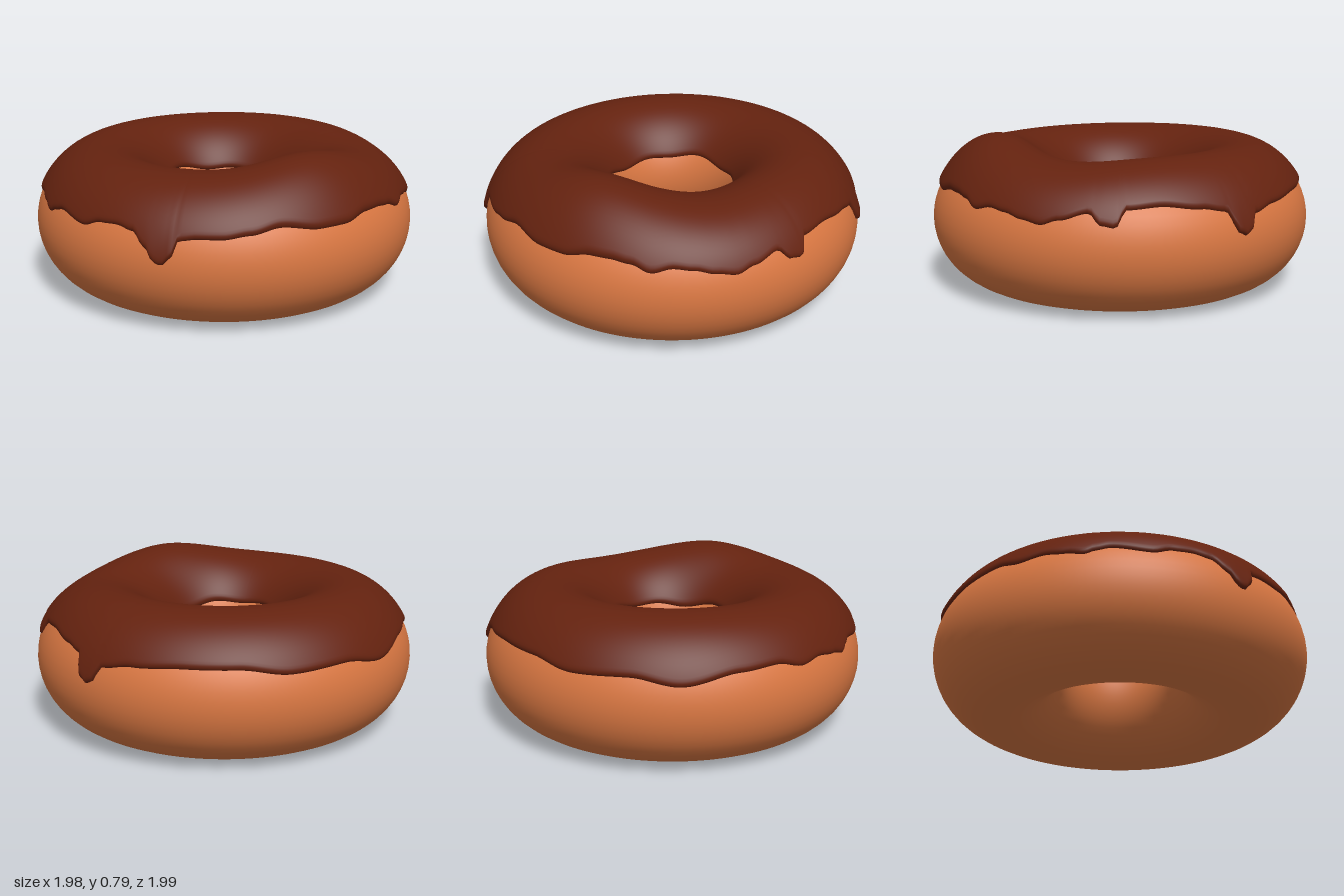
import * as THREE from 'three';

const RING = 0.645, TUBE = 0.345, HEIGHT = 0.349; // ring radius, tube half width and half height
const DEG = Math.PI / 180;

// Lower rim of the icing: [angle from the front towards +x in degrees, height]
const RIM = [
  [0, 0.52], [6, 0.525], [11.7, 0.51], [16, 0.45], [19, 0.385], [21, 0.375], [23.5, 0.41],
  [25.5, 0.49], [30.5, 0.5], [37.5, 0.5], [45, 0.515], [54, 0.54], [66, 0.515], [75, 0.515],
  [84, 0.54], [90, 0.54], [96, 0.53], [102, 0.5], [108, 0.52], [114, 0.51], [120, 0.49],
  [126, 0.475], [131, 0.5], [139.5, 0.535], [143, 0.485], [147, 0.475], [150, 0.55], [160, 0.56],
  [172, 0.54], [179.5, 0.52], [182.5, 0.42], [185, 0.4], [187, 0.42], [189.5, 0.49], [199, 0.515],
  [215, 0.53], [230, 0.53], [245, 0.5], [263, 0.51], [277, 0.475], [294, 0.52], [306, 0.53],
  [315, 0.5], [322.5, 0.515], [329.5, 0.5], [335, 0.48], [338, 0.5], [342, 0.515], [354, 0.49],
  [360, 0.52],
];

function rimHeight(deg) {
  let k = 0;
  while (k < RIM.length - 2 && RIM[k + 1][0] <= deg) k++;
  const [a0, y0] = RIM[k], [a1, y1] = RIM[k + 1];
  return THREE.MathUtils.lerp(y0, y1, THREE.MathUtils.smoothstep(deg, a0, a1));
}

// Smooth swelling around one angle of the ring
const swell = (deg, centre, width) => {
  const d = ((deg - centre + 540) % 360) - 180;
  return Math.exp(-(d * d) / (2 * width * width));
};

// Sheet of icing wrapped over the dough, closed around the ring
function icingGeometry(around = 300, across = 36) {
  const positions = [], index = [];
  for (let i = 0; i < around; i++) {
    const deg = (i / around) * 360, a = deg * DEG;
    const rim = rimHeight(deg);
    const innerRim = 0.5 + 0.012 * Math.sin(3 * a) + 0.008 * Math.sin(7 * a + 1);
    const start = Math.asin((rim - HEIGHT) / HEIGHT);
    const end = Math.PI - Math.asin((innerRim - HEIGHT) / HEIGHT);
    const drip = THREE.MathUtils.smoothstep(0.48 - rim, 0, 0.08);
    const lift = 0.062 * swell(deg, 75, 19) - 0.02 * swell(deg, 128, 16) + 0.012 * swell(deg, 190, 40)
      + 0.01 * swell(deg, 275, 35);
    for (let j = 0; j <= across; j++) {
      // rows crowd towards both rims so that they come out rounded
      const t = 0.5 - 0.5 * Math.cos((j / across) * Math.PI);
      const phi = start + (end - start) * t;
      const edge = Math.min(phi - start, end - phi) * TUBE;
      const inward = 1 - THREE.MathUtils.clamp(edge / 0.025, 0, 1);
      const round = Math.sqrt(1 - inward * inward);
      const fromRim = ((phi - start) * TUBE) / 0.08;
      const nearRim = Math.exp(-fromRim * fromRim);
      const up = Math.max(Math.sin(phi), 0);
      const thick = -0.004 + round * (0.02 + 0.016 * up ** 3 + 0.004 * drip * nearRim);
      const radius = RING + (TUBE + thick) * Math.cos(phi);
      const y = HEIGHT + (HEIGHT + thick) * Math.sin(phi) + lift * round * up ** 3;
      positions.push(radius * Math.sin(a), y, radius * Math.cos(a));
    }
  }
  const row = across + 1;
  for (let i = 0; i < around; i++) {
    const next = (i + 1) % around;
    for (let j = 0; j < across; j++) {
      const p = i * row + j, q = next * row + j;
      index.push(p, q, q + 1, p, q + 1, p + 1);
    }
  }
  const geometry = new THREE.BufferGeometry();
  geometry.setAttribute('position', new THREE.Float32BufferAttribute(positions, 3));
  geometry.setIndex(index);
  geometry.computeVertexNormals();
  return geometry;
}

export function createModel() {
  const model = new THREE.Group();
  model.name = 'doughnut';

  // Dough ring lying flat on the ground
  const doughGeometry = new THREE.TorusGeometry(RING, TUBE, 48, 120);
  doughGeometry.rotateX(Math.PI / 2);
  doughGeometry.scale(1, HEIGHT / TUBE, 1);
  doughGeometry.translate(0, HEIGHT, 0);
  const dough = new THREE.Mesh(doughGeometry, new THREE.MeshStandardMaterial({ color: 0xd97742 }));
  dough.name = 'dough';

  // Chocolate icing with drips
  const icing = new THREE.Mesh(
    icingGeometry(),
    new THREE.MeshStandardMaterial({ color: 0x64220f, side: THREE.DoubleSide }),
  );
  icing.name = 'icing';

  model.add(dough, icing);
  return model;
}
